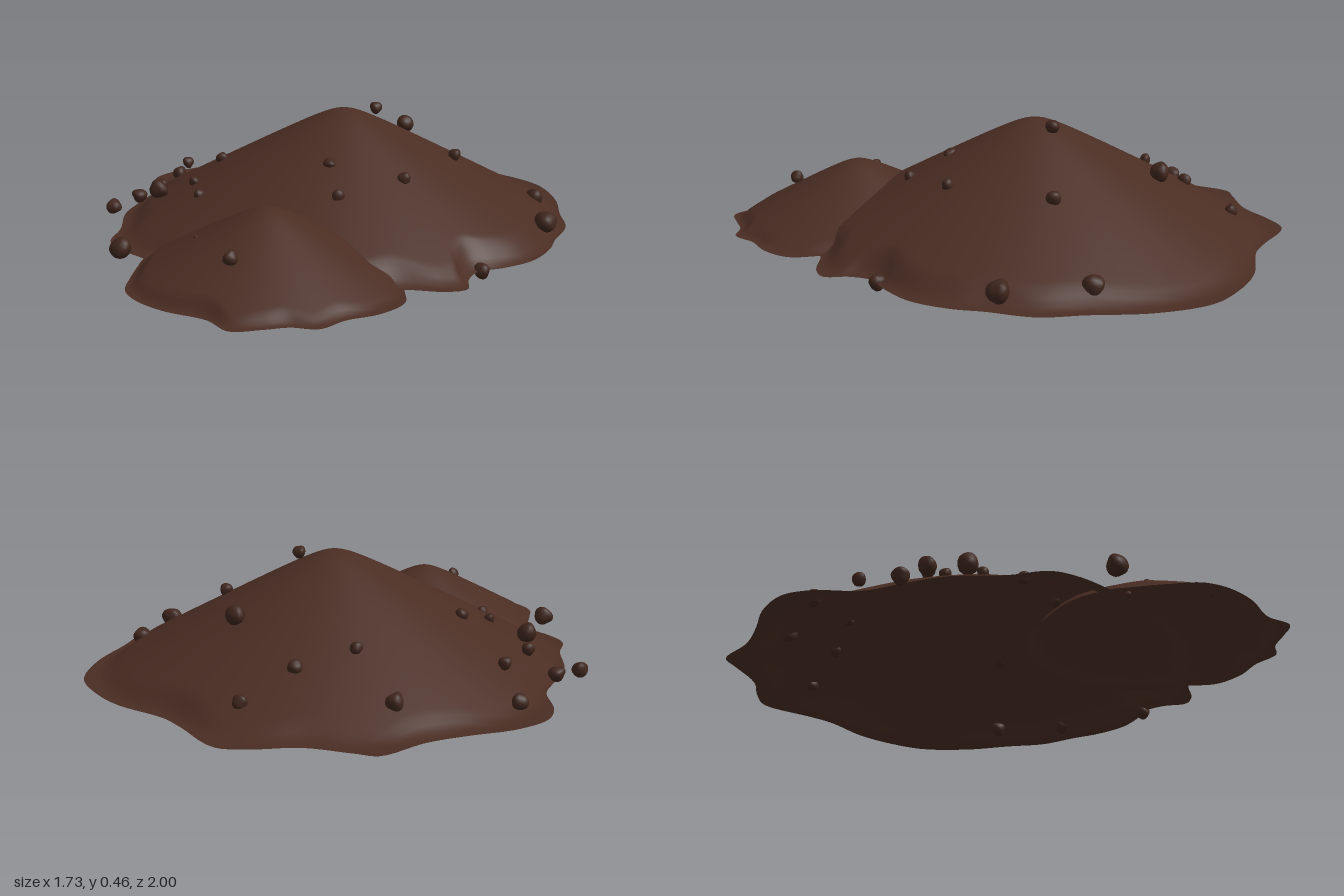
import * as THREE from 'three';
import { mergeVertices } from 'three/addons/utils/BufferGeometryUtils.js';

const soil = new THREE.MeshStandardMaterial({ color: 0x4a2d23, side: THREE.DoubleSide });
soil.name = 'soil brown';
const clod = new THREE.MeshStandardMaterial({ color: 0x3f261d });
clod.name = 'clod brown';

const GROUND = 0.03;
const SLOPE = 0.53;

// Ragged ground outlines as [x, z], going round from the back
const mainOutline = [
  [-0.2, -1], [0, -0.95], [0.1, -0.93], [0.3, -0.94], [0.45, -0.91], [0.6, -0.84], [0.72, -0.68],
  [0.79, -0.5], [0.85, -0.36], [0.855, -0.2], [0.865, -0.1], [0.845, 0.04], [0.78, 0.15],
  [0.72, 0.22], [0.715, 0.3], [0.74, 0.38], [0.69, 0.43], [0.56, 0.48], [0.45, 0.58], [0.28, 0.66],
  [0.1, 0.7], [-0.1, 0.67], [-0.32, 0.635], [-0.45, 0.6], [-0.53, 0.55], [-0.58, 0.43],
  [-0.68, 0.27], [-0.72, 0.12], [-0.75, 0], [-0.84, -0.12], [-0.87, -0.22], [-0.83, -0.35],
  [-0.74, -0.48], [-0.67, -0.6], [-0.62, -0.76], [-0.55, -0.79], [-0.4, -0.85], [-0.3, -0.94],
];
const smallOutline = [
  [0.11, 0.09], [0.25, 0.1], [0.4, 0.18], [0.52, 0.31], [0.56, 0.46], [0.61, 0.57], [0.58, 0.68],
  [0.51, 0.77], [0.47, 0.86], [0.39, 0.89], [0.33, 0.94], [0.25, 0.995], [0.15, 0.96], [0, 0.965],
  [-0.12, 0.94], [-0.2, 0.89], [-0.25, 0.8], [-0.29, 0.71], [-0.32, 0.63], [-0.32, 0.5],
  [-0.25, 0.35], [-0.17, 0.22], [-0.03, 0.13],
];

// Open heap: rings shrink from the outline to the peak, rounded at the top
function heap(name, outline, peakX, peakZ, top, tipRound) {
  const curve = new THREE.CatmullRomCurve3(outline.map(([x, z]) => new THREE.Vector3(x, 0, z)), true);
  const segments = 192, rings = 36;
  const rim = curve.getPoints(segments);
  const positions = [peakX, top, peakZ], index = [];
  for (let r = 1; r <= rings; r++) {
    const t = r / rings;
    for (let s = 0; s < segments; s++) {
      const dx = (rim[s].x - peakX) * t, dz = (rim[s].z - peakZ) * t;
      const d = Math.hypot(dx, dz);
      const rise = top + SLOPE * (tipRound - Math.hypot(d, tipRound)) - GROUND;
      const toe = 1 - THREE.MathUtils.smoothstep(t, 0.88, 1);
      positions.push(peakX + dx, GROUND + Math.max(0, rise) * toe, peakZ + dz);
    }
  }
  const at = (r, s) => 1 + (r - 1) * segments + (s % segments);
  for (let s = 0; s < segments; s++) {
    index.push(0, at(1, s + 1), at(1, s));
    for (let r = 1; r < rings; r++) {
      index.push(at(r, s), at(r, s + 1), at(r + 1, s));
      index.push(at(r, s + 1), at(r + 1, s + 1), at(r + 1, s));
    }
  }
  const geometry = new THREE.BufferGeometry();
  geometry.setAttribute('position', new THREE.Float32BufferAttribute(positions, 3));
  geometry.setIndex(index);
  geometry.computeVertexNormals();
  const mesh = new THREE.Mesh(geometry, soil);
  mesh.name = name;
  return mesh;
}

// Smooth lumpy pebble of unit radius
function pebbleGeometry() {
  let g = new THREE.IcosahedronGeometry(1, 3);
  g.deleteAttribute('normal');
  g.deleteAttribute('uv');
  g = mergeVertices(g);
  const p = g.attributes.position, v = new THREE.Vector3();
  for (let i = 0; i < p.count; i++) {
    v.fromBufferAttribute(p, i);
    const lump = 1 + 0.1 * Math.sin(2.6 * v.x + 1) * Math.cos(2.2 * v.y) + 0.09 * Math.sin(3 * v.z + 2 * v.y);
    p.setXYZ(i, v.x * lump * 1.08, v.y * lump, v.z * lump * 0.88);
  }
  g.computeVertexNormals();
  return g;
}

// Loose pebbles: [x, y, z, radius]
const pebbles = [
  [-0.13, 0.1, -0.82, 0.025], [-0.2, 0.18, -0.64, 0.025], [-0.52, 0.11, -0.55, 0.03],
  [-0.31, 0.22, -0.47, 0.021], [0.1, 0.29, -0.59, 0.034], [0.69, 0.085, -0.49, 0.034],
  [0.43, 0.267, -0.3, 0.024], [0.81, 0.08, -0.23, 0.038], [0.14, 0.433, -0.22, 0.024],
  [-0.76, 0.06, -0.2, 0.029], [-0.65, 0.145, -0.11, 0.023], [-0.385, 0.232, 0.04, 0.023],
  [-0.72, 0.055, 0.13, 0.029], [-0.6, 0.12, 0.14, 0.024], [-0.4, 0.18, 0.21, 0.02],
  [-0.535, 0.14, 0.25, 0.035], [-0.745, 0.043, 0.255, 0.029], [-0.31, 0.168, 0.31, 0.023],
  [0.39, 0.268, 0.08, 0.022], [0.14, 0.305, 0.16, 0.024], [0.235, 0.235, 0.28, 0.022],
  [0.725, 0.028, 0.2, 0.027], [-0.37, 0.075, 0.69, 0.036], [-0.09, 0.145, 0.65, 0.012],
  [0.13, 0.163, 0.79, 0.024], [-0.25, 0.033, 0.66, 0.011],
];

export function createModel() {
  const model = new THREE.Group();
  model.name = 'dirtPile';
  model.add(heap('mainMound', mainOutline, 0.05, -0.13, 0.44, 0.066));
  model.add(heap('smallMound', smallOutline, 0.11, 0.54, 0.25, 0.05));

  const scatter = new THREE.Group();
  scatter.name = 'pebbles';
  const geometry = pebbleGeometry();
  pebbles.forEach(([x, y, z, radius], i) => {
    const mesh = new THREE.Mesh(geometry, clod);
    mesh.name = 'pebble';
    mesh.position.set(x, y, z);
    mesh.rotation.set(i * 1.7, i * 2.3, i * 0.9);
    mesh.scale.setScalar(radius);
    scatter.add(mesh);
  });
  model.add(scatter);
  return model;
}
